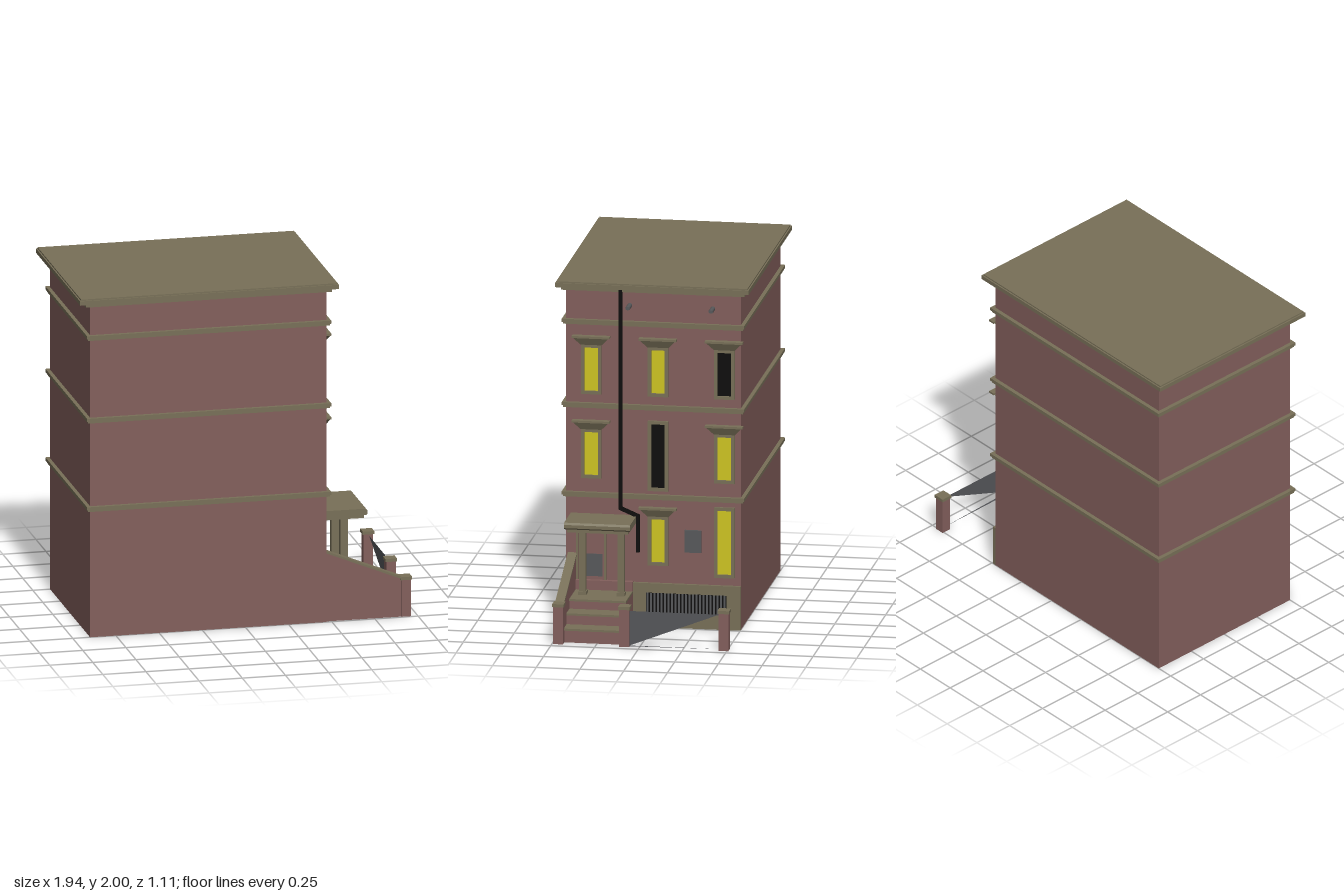
import * as THREE from 'three';

const mat = (name, color, side = THREE.FrontSide) => {
  const m = new THREE.MeshStandardMaterial({ color, side });
  m.name = name;
  return m;
};

export function createModel() {
  const brick = mat('brick', 0x835f5c);
  const stone = mat('stone', 0x787058);
  const glow = mat('litGlass', 0xcfc622);
  const black = mat('black', 0x0c0b0a);
  const grey = mat('grey', 0x58595b);
  const sheet = mat('fenceGrey', 0x55565a, THREE.DoubleSide);

  const root = new THREE.Group();
  root.name = 'townhouse';
  const WALL = 0.47; // x of the street facade

  const add = (name, geo, m, parent = root) => {
    const mesh = new THREE.Mesh(geo, m);
    mesh.name = name;
    parent.add(mesh);
    return mesh;
  };
  // Box given by its minimum and maximum on each axis
  const box = (name, m, x0, x1, y0, y1, z0, z1, parent = root) => {
    const mesh = add(name, new THREE.BoxGeometry(x1 - x0, y1 - y0, z1 - z0), m, parent);
    mesh.position.set((x0 + x1) / 2, (y0 + y1) / 2, (z0 + z1) / 2);
    return mesh;
  };
  // Extrude an x-y outline between two z values
  const slabXY = (name, m, pts, z0, z1, parent = root) => {
    const shape = new THREE.Shape(pts.map(p => new THREE.Vector2(...p)));
    const geo = new THREE.ExtrudeGeometry(shape, { depth: z1 - z0, bevelEnabled: false });
    const mesh = add(name, geo, m, parent);
    mesh.position.z = z0;
    return mesh;
  };

  // Main block
  box('walls', brick, -0.9, WALL, 0, 1.96, -0.5, 0.5);

  // String courses and roof cornice
  const ledge = (name, y0, ym, y1, out, inset) => {
    const g = new THREE.Group();
    g.name = name;
    root.add(g);
    const i = out - inset;
    box('lowerMoulding', stone, -0.9 - i, WALL + i, y0, ym, -0.5 - i, 0.5 + i, g);
    box('upperMoulding', stone, -0.9 - out, WALL + out, ym, y1, -0.5 - out, 0.5 + out, g);
  };
  for (const y of [0.74, 1.26, 1.745]) ledge('stringCourse', y, y + 0.012, y + 0.03, 0.022, 0.007);
  box('corniceBase', stone, -0.93, 0.495, 1.945, 1.967, -0.525, 0.525);
  box('roofSlab', stone, -0.97, 0.53, 1.967, 1.992, -0.553, 0.553);
  box('roofTop', stone, -0.962, 0.522, 1.992, 2.0, -0.545, 0.545);

  // Window hood: a slab over a block that flares outward
  const hood = (z, y, parent) => {
    const h = 0.042;
    const geo = new THREE.BoxGeometry(0.03, h, 0.2);
    const p = geo.attributes.position;
    for (let i = 0; i < p.count; i++) {
      const top = p.getY(i) > 0;
      p.setX(i, p.getX(i) < 0 ? WALL - 0.002 : WALL + (top ? 0.034 : 0.014));
      p.setZ(i, Math.sign(p.getZ(i)) * (top ? 0.1 : 0.06));
    }
    geo.computeVertexNormals();
    add('hoodFlare', geo, stone, parent).position.set(0, y + h / 2, z);
    box('hoodTop', stone, WALL, WALL + 0.037, y + h, y + h + 0.012, z - 0.108, z + 0.108, parent);
  };

  // Window: four-sided frame with a recessed pane
  const addWindow = (z, y0, y1, pane, hooded) => {
    const g = new THREE.Group();
    g.name = 'window';
    root.add(g);
    const w = 0.058, t = 0.019, f = WALL + 0.014;
    for (const s of [-1, 1]) {
      const a = z + s * w, b = z + s * (w - t);
      box('frameSide', stone, WALL, f, y0, y1, Math.min(a, b), Math.max(a, b), g);
    }
    box('frameSill', stone, WALL, f, y0, y0 + t, z - w + t, z + w - t, g);
    box('frameHead', stone, WALL, f, y1 - t, y1, z - w + t, z + w - t, g);
    box('pane', pane, WALL, WALL + 0.004, y0 + t, y1 - t, z - w + t, z + w - t, g);
    if (hooded) hood(z, y1 - 0.003, g);
  };
  const [zl, zm, zr] = [0.355, -0.027, -0.407];
  addWindow(zl, 1.34, 1.63, glow, true);
  addWindow(zm, 1.34, 1.63, glow, true);
  addWindow(zr, 1.34, 1.63, black, true);
  addWindow(zl, 0.85, 1.138, glow, true);
  addWindow(zm, 0.79, 1.198, black, false);
  addWindow(zr, 0.85, 1.138, glow, true);
  addWindow(zm, 0.357, 0.645, glow, true);
  addWindow(zr, 0.3, 0.71, glow, false);
  box('wallPlate', grey, WALL, WALL + 0.012, 0.44, 0.57, -0.275, -0.18);

  // Drainpipe with a dog-leg
  const pipe = (y0, y1, z) => box('drainpipe', black, 0.482, 0.502, y0, y1, z - 0.01, z + 0.01);
  pipe(0.68, 1.96, 0.185);
  pipe(0.435, 0.65, 0.085);
  const leg = box('drainpipeBend', black, 0.482, 0.502, 0.655, 0.675, 0.078, 0.192);
  leg.rotation.x = -Math.atan2(0.042, 0.1);

  // Roof drain spouts
  for (const z of [0.135, -0.34]) {
    const geo = new THREE.CylinderGeometry(0.013, 0.013, 0.09, 10);
    geo.rotateZ(-Math.PI / 2);
    const p = geo.attributes.position;
    for (let i = 0; i < p.count; i++) if (p.getX(i) > 0) p.setX(i, p.getX(i) + p.getY(i) * 0.8);
    add('spout', geo, grey).position.set(0.505, 1.865, z);
  }

  // Stone plinth with basement grille
  box('plinth', stone, WALL, 0.49, 0, 0.255, -0.5, 0.115);
  box('basementPane', black, 0.488, 0.492, 0.085, 0.2, -0.42, 0.04);
  for (let i = 0; i < 23; i++) {
    const z = -0.41 + i * 0.02;
    box('grilleBar', grey, 0.49, 0.496, 0.085, 0.2, z - 0.005, z + 0.005);
  }

  // Entrance steps: brick risers, stone treads
  [[0.725, 0.205], [0.825, 0.147], [0.92, 0.082]].forEach(([x1, y], i) => {
    const x0 = i ? x1 - 0.11 : WALL;
    box('riser', brick, x0, x1 - 0.008, 0, y - 0.012, 0.115, 0.44);
    box('tread', stone, x0, x1, y - 0.012, y, 0.115, 0.44);
  });
  box('doorStep', brick, WALL, 0.5, 0.205, 0.26, 0.115, 0.44);

  // Door with slim frame and glass
  for (const z of [0.275, 0.435]) box('doorFrameSide', stone, WALL, 0.482, 0.26, 0.585, z - 0.006, z + 0.006);
  box('door', brick, WALL, 0.475, 0.26, 0.58, 0.281, 0.429);
  box('doorGlass', grey, 0.474, 0.478, 0.28, 0.41, 0.29, 0.385);

  // Sloped side wall with coping
  slabXY('stairWall', brick, [[WALL, 0], [0.91, 0], [0.91, 0.22], [WALL, 0.4]], 0.442, 0.488);
  slabXY('stairCoping', stone, [[WALL, 0.4], [0.91, 0.22], [0.91, 0.232], [WALL, 0.412]], 0.438, 0.49);

  // Porch canopy on two columns
  for (const z of [0.383, 0.164]) {
    box('column', stone, 0.572, 0.616, 0.205, 0.59, z - 0.018, z + 0.018);
    box('columnBase', stone, 0.566, 0.622, 0.205, 0.225, z - 0.023, z + 0.023);
    box('columnCap', stone, 0.566, 0.622, 0.57, 0.59, z - 0.023, z + 0.023);
  }
  box('canopySoffit', stone, WALL, 0.695, 0.585, 0.605, 0.11, 0.458);
  slabXY('canopyTop', stone,
    [[WALL, 0.605], [0.705, 0.605], [0.713, 0.613], [0.713, 0.632], [0.703, 0.643], [WALL, 0.643]], 0.095, 0.473);

  // Gate posts
  for (const z of [-0.481, 0.087, 0.465]) {
    box('post', brick, 0.905, 0.961, 0, 0.22, z - 0.028, z + 0.028);
    box('postCap', stone, 0.899, 0.966, 0.216, 0.234, z - 0.033, z + 0.033);
  }

  // Sloping fence sheet and its ground strip
  const triangle = (name, ...v) => {
    const geo = new THREE.BufferGeometry();
    geo.setAttribute('position', new THREE.Float32BufferAttribute(v.flat(), 3));
    geo.computeVertexNormals();
    add(name, geo, sheet);
  };
  triangle('fenceSheet', [0.938, 0.004, 0.06], [0.938, 0.205, -0.453], [0.938, 0.205, 0.06]);
  triangle('fenceFoot', [0.938, 0.004, 0.06], [0.955, 0.004, 0.06], [0.938, 0.004, -0.453]);

  return root;
}
